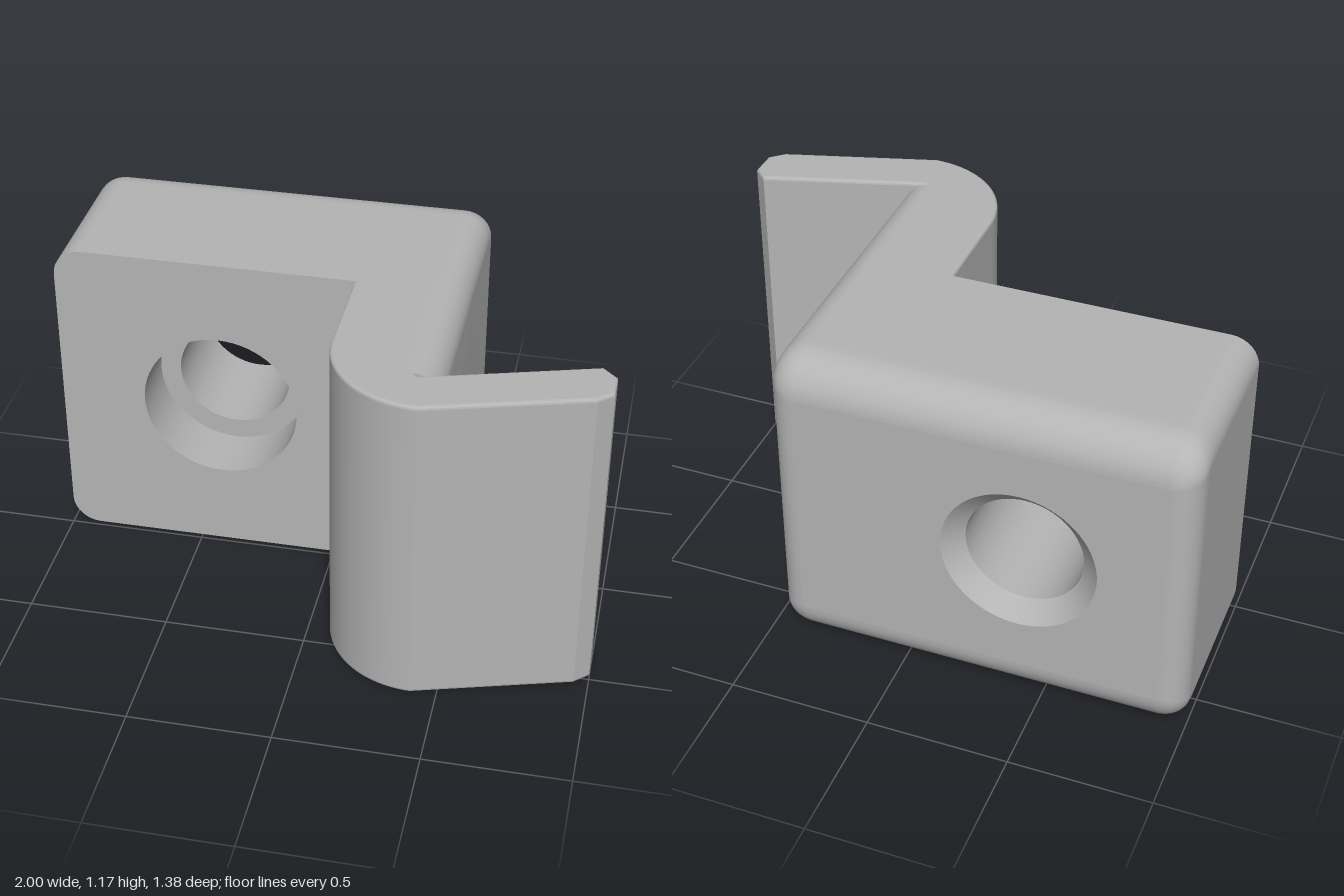
import * as THREE from 'three';
import { toCreasedNormals } from 'three/addons/utils/BufferGeometryUtils.js';

const H = 1.17, LEFT = -1, RIGHT = 0.46, BACK = -0.69, FRONT = -0.02;
const HOLE = { x: -0.415, y: 0.59, bore: 0.205, counterbore: 0.28, sink: 0.27 };

// Rounded rectangle as a counter-clockwise ring of points
function roundedRing(x0, x1, y0, y1, r, steps = 8) {
  const corners = [[x1 - r, y0 + r, -1], [x1 - r, y1 - r, 0], [x0 + r, y1 - r, 1], [x0 + r, y0 + r, 2]];
  return corners.flatMap(([cx, cy, q]) => Array.from({ length: steps + 1 }, (_, i) => {
    const a = (q + i / steps) * Math.PI / 2;
    return new THREE.Vector2(cx + r * Math.cos(a), cy + r * Math.sin(a));
  }));
}

// Block outline at a given depth in front of the back face
function blockRing(depth) {
  const inset = (r) => (depth < r ? r - Math.sqrt(r * r - (r - depth) ** 2) : 0);
  const ix = inset(0.09), iy = inset(0.14);
  return roundedRing(LEFT + ix, RIGHT - ix, iy, H - iy, Math.max(0.1 - ix, 0.01));
}

// Side walls of the block, lofted from back to front
function blockWalls() {
  const depths = Array.from({ length: 13 }, (_, i) => 0.14 * (1 - Math.cos(i / 12 * Math.PI / 2)));
  depths.push(0.16, FRONT - BACK);
  const pos = [], idx = [];
  let n = 0;
  depths.forEach((d, i) => {
    const ring = blockRing(d);
    n = ring.length;
    ring.forEach((p) => pos.push(p.x, p.y, BACK + d));
    if (i === 0) return;
    for (let j = 0; j < n; j++) {
      const k = (j + 1) % n, a = (i - 1) * n, b = i * n;
      idx.push(a + j, a + k, b + k, a + j, b + k, b + j);
    }
  });
  const geo = new THREE.BufferGeometry();
  geo.setAttribute('position', new THREE.Float32BufferAttribute(pos, 3));
  geo.setIndex(idx);
  geo.computeVertexNormals();
  return geo;
}

// Flat block face with a round opening
function piercedFace(ring, radius, z) {
  const shape = new THREE.Shape(ring);
  shape.holes.push(new THREE.Path().absarc(HOLE.x, HOLE.y, radius, 0, Math.PI * 2, true));
  return new THREE.ShapeGeometry(shape, 64).translate(0, 0, z);
}

export function createModel() {
  const group = new THREE.Group();
  const grey = new THREE.MeshStandardMaterial({ color: 0xb4b4b4, side: THREE.DoubleSide });
  grey.name = 'grey';
  const add = (name, geo, parent = group) => {
    const mesh = new THREE.Mesh(geo, grey);
    mesh.name = name;
    parent.add(mesh);
  };

  // Mounting block
  const block = new THREE.Group();
  block.name = 'mountingBlock';
  group.add(block);
  add('blockWalls', blockWalls(), block);
  add('blockFront', piercedFace(blockRing(FRONT - BACK), HOLE.counterbore, FRONT), block);
  add('blockBack', piercedFace(blockRing(0), HOLE.sink, BACK), block);

  // Screw hole: countersink, bore, ledge and counterbore
  const ledge = FRONT - 0.22;
  const profile = [[HOLE.sink, BACK], [HOLE.bore, BACK + 0.065], [HOLE.bore, ledge],
    [HOLE.counterbore, ledge], [HOLE.counterbore, FRONT]].map(([r, z]) => new THREE.Vector2(r, z));
  ['countersink', 'bore', 'ledge', 'counterbore'].forEach((name, i) => {
    const geo = new THREE.LatheGeometry([profile[i], profile[i + 1]], 64);
    add(name, geo.rotateX(Math.PI / 2).translate(HOLE.x, HOLE.y, 0), block);
  });

  // Rounded outer side of the arm, continuing the block
  const r = 0.1;
  const side = new THREE.Shape();
  side.moveTo(0.3, 0).lineTo(RIGHT - r, 0);
  side.absarc(RIGHT - r, r, r, -Math.PI / 2, 0, false);
  side.absarc(RIGHT - r, H - r, r, 0, Math.PI / 2, false);
  side.lineTo(0.3, H);
  const sideGeo = new THREE.ExtrudeGeometry(side, { depth: 0.6, bevelEnabled: false, curveSegments: 8 });
  add('armOuterSide', toCreasedNormals(sideGeo.translate(0, 0, -0.1), 0.4));

  // Curved arm and angled lip, drawn in plan (x, z) and extruded upward
  const plan = new THREE.Shape();
  plan.moveTo(0.07, -0.1).lineTo(0.07, 0.35);
  plan.absarc(0.41, 0.35, 0.34, Math.PI, Math.PI / 2, true);
  [[0.95, 0.53], [1, 0.485], [1, 0.39], [0.95, 0.34], [0.385, 0.51], [0.37, 0.5], [0.37, -0.1]]
    .forEach(([x, z]) => plan.lineTo(x, z));
  const bevel = 0.012;
  const armGeo = new THREE.ExtrudeGeometry(plan, {
    depth: H - 2 * bevel, bevelSize: bevel, bevelThickness: bevel, bevelOffset: -bevel,
    bevelSegments: 3, curveSegments: 20,
  });
  // The bevel offset insets only the caps, so the walls keep the plan size
  armGeo.rotateX(Math.PI / 2).translate(0, H - bevel, 0);
  add('curvedArmAndLip', toCreasedNormals(armGeo, 0.25));

  return group;
}
